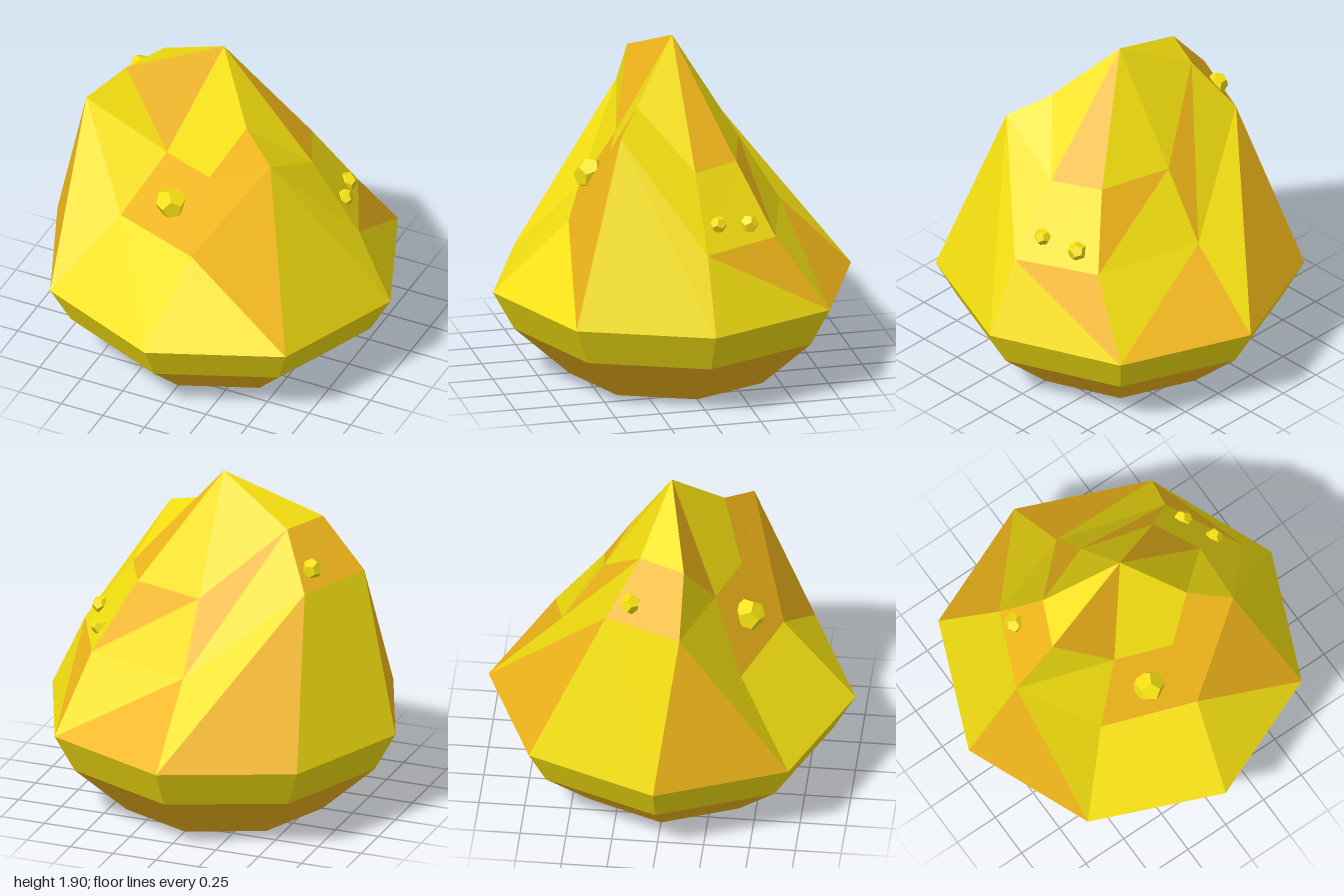
import * as THREE from 'three';

const YELLOW = 0xf5e010, AMBER = 0xf2b71a;
const material = (color) => new THREE.MeshStandardMaterial({ color, flatShading: true });

// Regular octagon of points, counted from +x towards +z
const octagon = (radius, y) => Array.from({ length: 8 }, (_, k) => {
  const a = k * Math.PI / 4;
  return [radius * Math.cos(a), y, radius * Math.sin(a)];
});

// Joins two rings. Each entry: diagonal direction, then the colours of its two triangles.
function band(add, top, bottom, plan) {
  plan.split(' ').forEach(([diagonal, c1, c2], k) => {
    const n = (k + 1) % 8;
    if (diagonal === 'A') {
      add(c1, top[k], top[n], bottom[n]);
      add(c2, top[k], bottom[n], bottom[k]);
    } else {
      add(c1, top[n], bottom[n], bottom[k]);
      add(c2, top[n], bottom[k], top[k]);
    }
  });
}

function facetMesh(name, points, color) {
  const geometry = new THREE.BufferGeometry();
  geometry.setAttribute('position', new THREE.Float32BufferAttribute(points, 3));
  geometry.computeVertexNormals();
  const mesh = new THREE.Mesh(geometry, material(color));
  mesh.name = name;
  return mesh;
}

export function createModel() {
  const model = new THREE.Group();
  model.name = 'nugget';
  const facets = { Y: [], O: [] };
  const add = (c, ...corners) => facets[c].push(...corners.flat());

  // Rings of the irregular crown
  const apex = [0, 1.9, 0];
  const upper = [
    [0.53, 1.29, 0], [0.26, 1.6, 0.26], [0.09, 1.29, 0.37], [-0.22, 1.29, 0.26],
    [-0.53, 1.67, 0.12], [-0.42, 1.67, -0.13], [0, 1.29, -0.37], [0.4, 1.29, -0.26],
  ];
  const lower = [
    [0.81, 0.91, 0], [0.47, 1.5, 0.4], [0.09, 0.91, 0.6], [-0.42, 0.91, 0.42],
    [-0.77, 1.39, 0.12], [-0.59, 1.38, -0.3], [0, 0.91, -0.6], [0.6, 0.91, -0.43],
  ];
  // Regular rings below
  const girdle = octagon(1, 0.5), belt = octagon(0.88, 0.28), base = octagon(0.575, 0);

  // Peak facets
  [...'YYYOYYYO'].forEach((c, k) => add(c, apex, upper[(k + 1) % 8], upper[k]));
  // Crown facets
  band(add, upper, lower, 'AYY BOO BOO AYY AOO AOY AOY AYY');
  band(add, lower, girdle, 'BYY BYO BYY BOY BYY AYO AYO BYO');
  // Underside tiers and flat base
  band(add, girdle, belt, Array(8).fill('AYY').join(' '));
  band(add, belt, base, Array(8).fill('AOO').join(' '));
  for (let k = 1; k < 7; k++) add('O', base[0], base[k], base[k + 1]);

  model.add(facetMesh('yellowFacets', facets.Y, YELLOW));
  model.add(facetMesh('amberFacets', facets.O, AMBER));

  // Small crystals half sunk in the crown: x, y, z, radius
  [
    [-0.11, 1.1, 0.43, 0.09],
    [0.685, 1.04, -0.09, 0.047],
    [0.61, 1.0, -0.28, 0.053],
    [-0.58, 1.48, -0.17, 0.058],
  ].forEach(([x, y, z, r], i) => {
    const crystal = new THREE.Mesh(new THREE.DodecahedronGeometry(r), material(YELLOW));
    crystal.name = `smallCrystal${i + 1}`;
    crystal.position.set(x, y, z);
    crystal.rotation.set(0.3 + i, 0.5 * i, 0.4);
    model.add(crystal);
  });

  return model;
}
